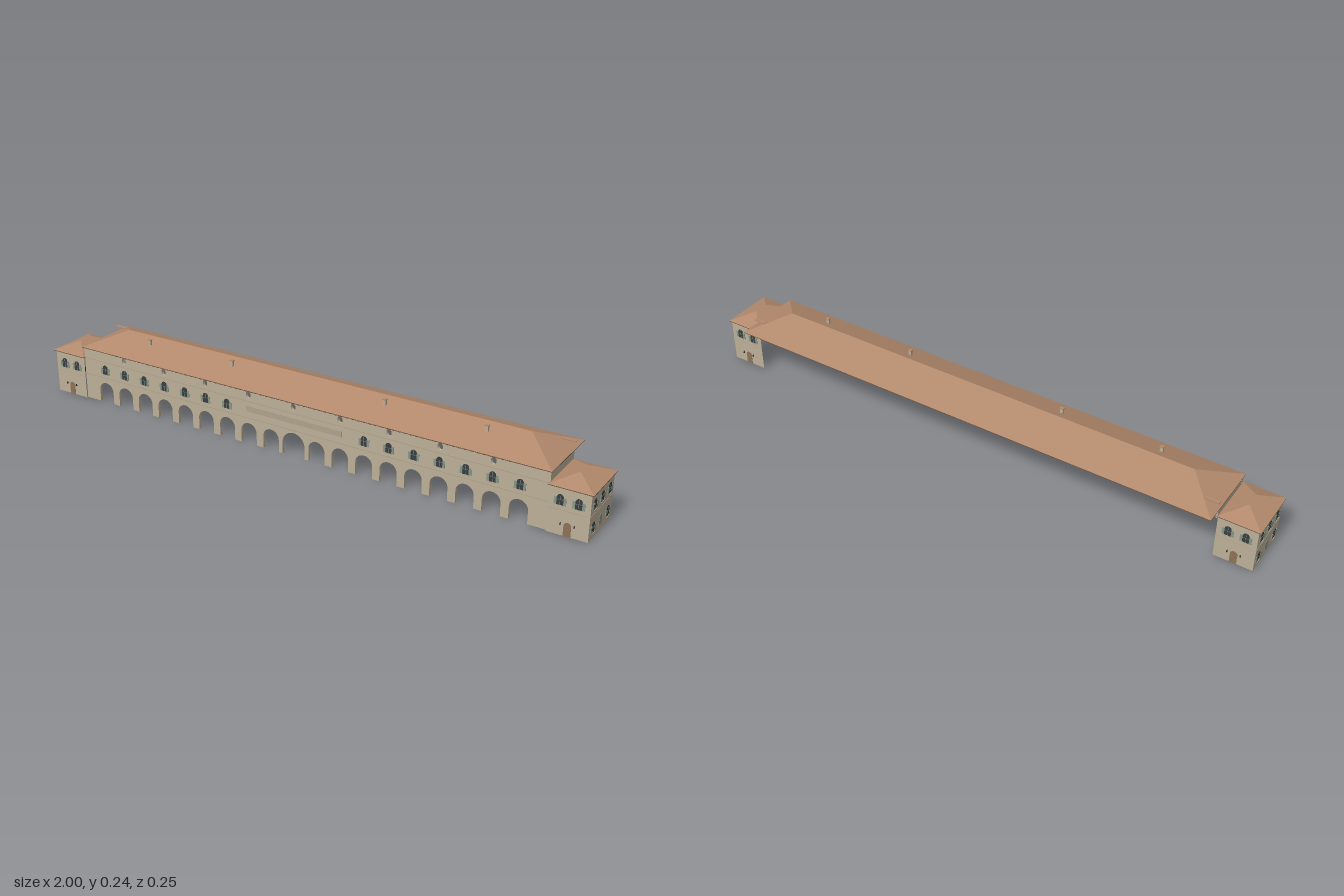
import * as THREE from 'three';
import { mergeGeometries } from 'three/addons/utils/BufferGeometryUtils.js';

const mat = (color, side = THREE.FrontSide) => new THREE.MeshStandardMaterial({ color, side });
const WALL = mat(0xbdaf97), SHELL = mat(0xbdaf97, THREE.DoubleSide), TRIM = mat(0xb0a38c);
const TILE = mat(0xb2896c), UNDER = mat(0x6e5442), GLASS = mat(0x3a3d40);
const SHUTTER = mat(0x859789), DOOR = mat(0x8f7158), DARK = mat(0x2c2724);

function add(parent, name, geo, material, x = 0, y = 0, z = 0, ry = 0) {
  const m = new THREE.Mesh(geo, material);
  m.name = name;
  m.position.set(x, y, z);
  m.rotation.y = ry;
  parent.add(m);
  return m;
}
const box = (w, h, d) => new THREE.BoxGeometry(w, h, d);

// Round-headed outline standing on the base line
function arch(w, h) {
  const p = new THREE.Shape(), r = w / 2;
  p.moveTo(-r, 0);
  p.lineTo(r, 0);
  p.lineTo(r, h - r);
  p.absarc(0, h - r, r, 0, Math.PI, false);
  p.closePath();
  return p;
}
const extrude = (shape, depth) =>
  new THREE.ExtrudeGeometry(shape, { depth, bevelEnabled: false, curveSegments: 10 });

// Shared window and door parts
const pane = extrude(arch(0.021, 0.034), 0.001);
const doorPanel = extrude(arch(0.023, 0.045), 0.001);
const leaf = box(0.008, 0.023, 0.002);
const bar = box(0.021, 0.001, 0.0005), mullion = box(0.001, 0.033, 0.0005);
const sill = box(0.024, 0.0015, 0.003);

function addWindow(parent, x, y, z, ry = 0, closed = false) {
  const g = new THREE.Group();
  g.name = 'window';
  g.position.set(x, y, z);
  g.rotation.y = ry;
  add(g, 'pane', pane, closed ? SHUTTER : GLASS);
  if (!closed) {
    add(g, 'sill', sill, TRIM, 0, -0.001, 0.0015);
    add(g, 'crossbar', bar, SHUTTER, 0, 0.017, 0.001);
    add(g, 'mullion', mullion, SHUTTER, 0, 0.0165, 0.001);
    for (const s of [-1, 1]) add(g, 'shutter', leaf, SHUTTER, s * 0.0145, 0.0125, 0.001);
  }
  parent.add(g);
}

// Hipped roof: four eave corners, each running up to its own ridge point
function hipRoof(parent, name, x0, x1, z0, z1, y, ridge, t = 0.0025) {
  const c = [[x0, y, z1], [x1, y, z1], [x1, y, z0], [x0, y, z0]];
  const low = (p) => [p[0], p[1] - t, p[2]];
  const same = (p, q) => p.every((v, i) => v === q[i]);
  const make = (quads) => {
    const v = [];
    for (const [a, b, d, e] of quads) {
      v.push(...a, ...b, ...d);
      if (!same(d, e)) v.push(...a, ...d, ...e);
    }
    const g = new THREE.BufferGeometry();
    g.setAttribute('position', new THREE.Float32BufferAttribute(v, 3));
    g.computeVertexNormals();
    return g;
  };
  const top = [], edge = [], under = [];
  for (let i = 0; i < 4; i++) {
    const j = (i + 1) % 4;
    top.push([c[i], c[j], ridge[j], ridge[i]]);
    edge.push([low(c[i]), low(c[j]), c[j], c[i]]);
    under.push([c[j], c[i], ridge[i], ridge[j]].map(low));
  }
  add(parent, name + 'Tiles', make(top), TILE);
  add(parent, name + 'Fascia', make(edge), UNDER);
  add(parent, name + 'Underside', make(under), UNDER);
}

// Long arcaded front wall with round-headed openings and small oval lights
function buildFrontWall(root) {
  const g = new THREE.Group();
  g.name = 'frontWall';
  const s = new THREE.Shape();
  s.moveTo(-0.866, 0.188);
  s.lineTo(-0.866, 0);
  for (let i = -9; i <= 9; i++) {
    const x = i * 0.0862, r = i ? 0.03 : 0.042, spring = i ? 0.043 : 0.04;
    s.lineTo(x - r, 0);
    s.lineTo(x - r, spring);
    s.absarc(x, spring, r, Math.PI, 0, true);
    s.lineTo(x + r, 0);
  }
  s.lineTo(0.866, 0);
  s.lineTo(0.866, 0.188);
  s.closePath();
  for (let i = -4; i <= 4; i++) {
    const h = new THREE.Path();
    h.absellipse(i * 0.1724, 0.173, 0.009, 0.0125, 0, Math.PI * 2, true);
    s.holes.push(h);
  }
  add(g, 'arcade', extrude(s, 0.01), WALL, 0, 0, 0.102);
  for (const y of [0.093, 0.152])
    add(g, 'stringCourse', box(1.73, 0.003, 0.003), TRIM, 0, y, 0.113);
  add(g, 'centrePanel', box(0.36, 0.02, 0.002), TRIM, 0, 0.125, 0.113);
  for (let i = 3; i <= 9; i++)
    for (const d of [-1, 1]) addWindow(g, d * i * 0.0862, 0.105, 0.112);
  root.add(g);
}

// End pavilion, open toward the hall
function buildPavilion(root, s) {
  const g = new THREE.Group();
  g.name = s > 0 ? 'leftPavilion' : 'rightPavilion';
  const xi = 0.865, xo = 0.993, zf = 0.118, zb = -0.055, h = 0.153;
  const xm = s * (xi + xo) / 2, zm = (zf + zb) / 2, w = xo - xi, d = zf - zb;
  const side = s * Math.PI / 2;
  add(g, 'frontFace', new THREE.PlaneGeometry(w, h), SHELL, xm, h / 2, zf);
  add(g, 'backFace', new THREE.PlaneGeometry(w, h), SHELL, xm, h / 2, zb, Math.PI);
  add(g, 'outerFace', new THREE.PlaneGeometry(d, h), SHELL, s * xo, h / 2, zm, side);
  add(g, 'sideCourse', box(0.002, 0.002, d), TRIM, s * xo, 0.08, zm);

  // Front and back: two windows over a door with lamps
  for (const [z, ry] of [[zf, 0], [zb, Math.PI]]) {
    const out = z > 0 ? 1 : -1;
    add(g, 'faceCourse', box(w, 0.002, 0.002), TRIM, xm, 0.08, z);
    for (const o of [-0.028, 0.028]) {
      addWindow(g, xm + o, 0.095, z, ry);
      add(g, 'lamp', box(0.003, 0.006, 0.003), DARK, xm + o * 0.75, 0.038, z + out * 0.0035);
      add(g, 'lampArm', box(0.001, 0.001, 0.005), DARK, xm + o * 0.75, 0.0415, z + out * 0.0025);
    }
    add(g, 'door', doorPanel, DOOR, xm, 0, z, ry);
  }
  // Outer side: two rows of three, the lower middle one shuttered
  for (const o of [-0.057, 0, 0.057]) {
    addWindow(g, s * xo, 0.095, zm + o, side);
    addWindow(g, s * xo, 0.02, zm + o, side, o === 0);
  }
  const rf = [s * 0.931, 0.182, 0.057], rb = [s * 0.931, 0.182, 0.007];
  const x = [s * 0.862, s].sort((a, b) => a - b);
  hipRoof(g, 'pavilionRoof', x[0], x[1], -0.06, 0.125, 0.154, [rf, rf, rb, rb]);

  // Hall end wall rising above the pavilion roof
  add(g, 'hallEndWall', box(0.006, 0.042, 0.172), WALL, s * 0.862, 0.168, 0.026);
  // Flat vent on the hipped end of the hall roof
  add(g, 'roofVent', box(0.045, 0.003, 0.012), TILE, s * 0.845, 0.21, -0.064);
  root.add(g);
}

function buildHallRoof(root) {
  const g = new THREE.Group();
  g.name = 'hallRoof';
  const r0 = [-0.755, 0.239, 0], r1 = [0.755, 0.239, 0];
  hipRoof(g, 'hallRoof', -0.87, 0.87, -0.125, 0.118, 0.19, [r0, r1, r1, r0]);

  // Rafters below both slopes
  const rafters = [];
  for (const z of [0.116, -0.123]) {
    const rise = 0.048, len = Math.hypot(z, rise);
    for (let i = -37; i <= 37; i++) {
      const b = box(0.006, 0.003, len);
      b.rotateX(Math.atan2(rise, Math.abs(z)) * Math.sign(z));
      b.translate(i * 0.02, 0.2105, z / 2);
      rafters.push(b);
    }
  }
  add(g, 'rafters', mergeGeometries(rafters), UNDER);

  // Chimneys on the front slope
  for (const x of [-0.63, -0.287, 0.287, 0.63]) {
    add(g, 'chimney', box(0.01, 0.026, 0.008), WALL, x, 0.227, 0.039);
    add(g, 'chimneyCap', box(0.013, 0.003, 0.01), TILE, x, 0.2415, 0.039);
  }
  root.add(g);
}

export function createModel() {
  const root = new THREE.Group();
  root.name = 'arcadedHall';
  buildFrontWall(root);
  buildHallRoof(root);
  for (const s of [-1, 1]) buildPavilion(root, s);
  return root;
}
